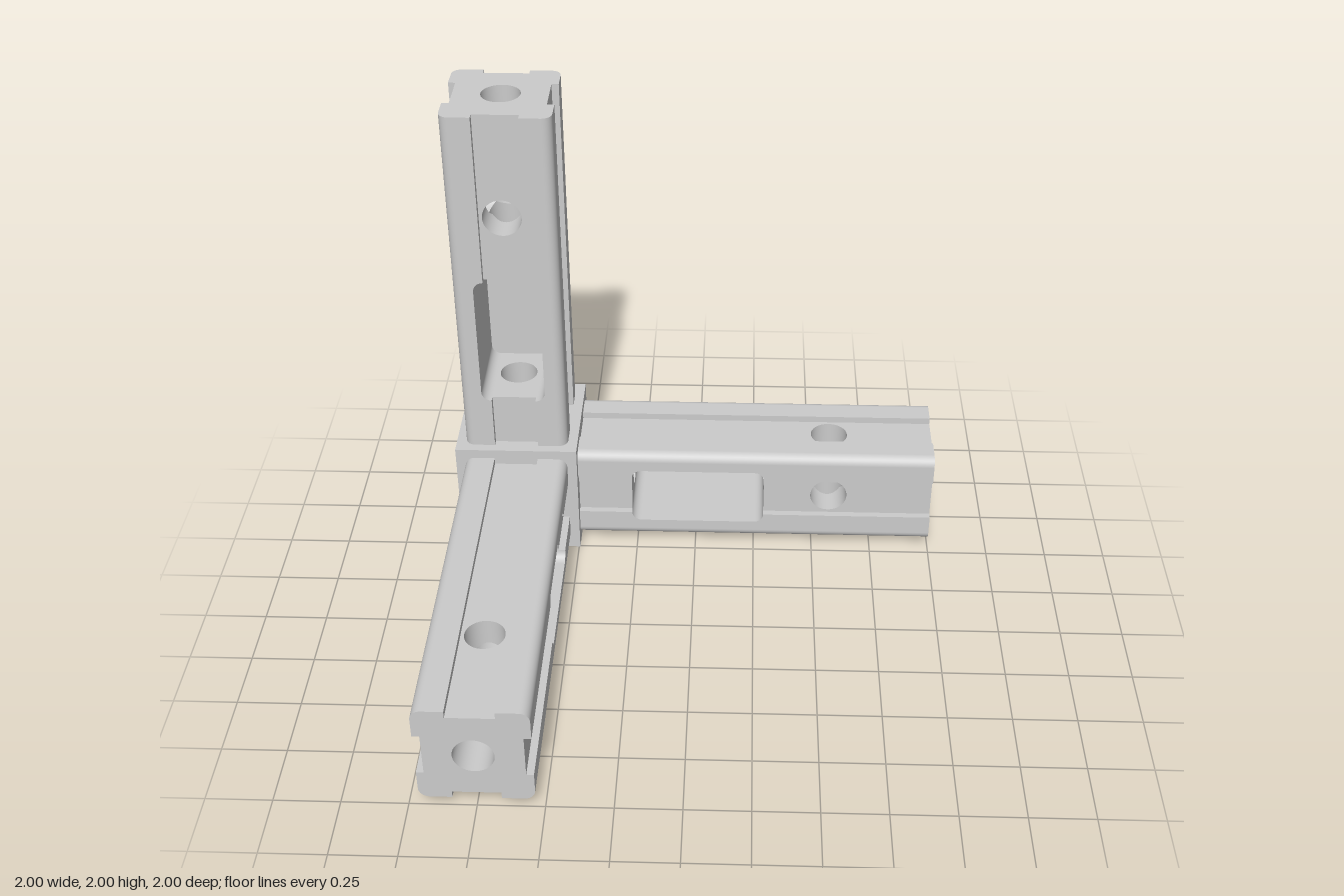
import * as THREE from 'three';

const B = 0.2525;             // half size of the corner block
const A = 0.213, R = 0.04;    // half width and corner radius of an arm
const G = 0.09, H = 0.185;    // half width of a groove, height of its floor
const L = 1.7475;             // arm tip, measured from the block centre
const P0 = 0.4775, P1 = 1.0375, PW = 0.13, PZ = -0.145; // pocket ends, half width, floor
const HOLE = 1.3125, HR = 0.077; // cross hole position, radius of all holes

const mat = new THREE.MeshStandardMaterial({ color: 0xcccccc, side: THREE.DoubleSide });

function add(parent, name, geo) {
  const mesh = new THREE.Mesh(geo, mat);
  mesh.name = name;
  parent.add(mesh);
  return mesh;
}

function polygon(points, holeAt) {
  const shape = new THREE.Shape(points.map(([x, y]) => new THREE.Vector2(x, y)));
  if (holeAt) {
    const hole = new THREE.Path();
    hole.absarc(holeAt[0], holeAt[1], HR, 0, Math.PI * 2, true);
    shape.holes.push(hole);
  }
  return new THREE.ShapeGeometry(shape, 24);
}

const rect = (x0, y0, x1, y1, hole) =>
  polygon([[x0, y0], [x1, y0], [x1, y1], [x0, y1]], hole);

// Points of a quarter arc of the given centre and start angle
function arc(cx, cy, start, sweep, n = 8) {
  return Array.from({ length: n + 1 }, (_, i) => {
    const t = start + sweep * i / n;
    return [cx + R * Math.cos(t), cy + R * Math.sin(t)];
  });
}

// Round bore along y; each end is a height, or a height mitred to crossing bores
function bore(y0, y1, mitre0 = 0, mitre1 = 0) {
  const geo = new THREE.CylinderGeometry(HR, HR, 1, 48, 1, true);
  const p = geo.attributes.position;
  for (let i = 0; i < p.count; i++) {
    const reach = Math.max(Math.abs(p.getX(i)), Math.abs(p.getZ(i)));
    p.setY(i, p.getY(i) > 0 ? y1 + mitre1 * reach : y0 + mitre0 * reach);
  }
  return geo;
}

// One of the four grooved faces, facing +z
function armFace(hasPocket) {
  const face = new THREE.Group();
  face.name = 'armFace';
  const spans = hasPocket ? [[B, P0], [P1, L]] : [[B, L]];
  for (const [y0, y1] of spans) {
    const hole = y1 === L ? [0, HOLE] : null;
    add(face, 'grooveFloor', rect(-G, y0, G, y1, hole)).position.z = H;
    for (const s of [-1, 1]) {
      const wall = add(face, 'grooveWall', new THREE.PlaneGeometry(A - H, y1 - y0));
      wall.position.set(s * G, (y0 + y1) / 2, (A + H) / 2);
      wall.rotation.y = -s * Math.PI / 2;
    }
  }
  const notch = hasPocket ? [
    [G, P1], ...arc(PW - R, P1 - R, Math.PI / 2, -Math.PI / 2),
    ...arc(PW - R, P0 + R, 0, -Math.PI / 2), [G, P0]] : [];
  for (const s of [-1, 1]) {
    const outline = [[G, B], [A - R, B], [A - R, L], [G, L], ...notch];
    add(face, 'land', polygon(outline.map(([x, y]) => [s * x, y]))).position.z = A;
  }
  const edge = add(face, 'roundedEdge',
    new THREE.CylinderGeometry(R, R, L - B, 8, 1, true, 0, Math.PI / 2));
  edge.position.set(A - R, (B + L) / 2, A - R);
  const cross = add(face, 'crossHole', bore(0, H, 1, 0));
  cross.rotation.x = Math.PI / 2;
  cross.position.y = HOLE;
  return face;
}

// Blind pocket opening to +z, its ends pierced by the long bore
function pocket() {
  const group = new THREE.Group();
  group.name = 'pocket';
  const right = [...arc(PW - R, P0 + R, -Math.PI / 2, Math.PI / 2),
    ...arc(PW - R, P1 - R, 0, Math.PI / 2)];
  const left = right.map(([x, y]) => [-x, y]).reverse();
  add(group, 'pocketFloor', polygon([...right, ...left])).position.z = PZ;
  for (const s of [-1, 1]) {
    const pos = [], idx = [];
    right.forEach(([x, y], i) => {
      pos.push(s * x, y, PZ, s * x, y, A);
      const a = 2 * i;
      if (i) idx.push(...(s > 0 ? [a - 2, a - 1, a, a, a - 1, a + 1]
        : [a - 2, a, a - 1, a, a + 1, a - 1]));
    });
    const geo = new THREE.BufferGeometry();
    geo.setAttribute('position', new THREE.Float32BufferAttribute(pos, 3));
    geo.setIndex(idx);
    geo.computeVertexNormals();
    add(group, 'pocketSide', geo);
  }
  for (const [y, turn] of [[P0, -1], [P1, 1]]) {
    const z0 = turn < 0 ? -H : PZ, z1 = turn < 0 ? -PZ : H;
    const end = add(group, 'pocketEnd', rect(-G, z0, G, z1, [0, 0]));
    end.rotation.x = turn * Math.PI / 2;
    end.position.y = y;
  }
  return group;
}

// Arm along +y with its pocket on +z, and the block faces it passes through
function makeArm(name) {
  const arm = new THREE.Group();
  arm.name = name;
  for (let k = 0; k < 4; k++) {
    const face = armFace(k === 0);
    face.rotation.y = k * Math.PI / 2;
    arm.add(face);
  }
  arm.add(pocket());

  // Notched end cap
  const quarter = [[G, H], [G, A], ...arc(A - R, A - R, Math.PI / 2, -Math.PI / 2), [A, G], [H, G]];
  const profile = [];
  for (let k = 0; k < 4; k++) {
    const c = Math.round(Math.cos(k * Math.PI / 2)), s = Math.round(Math.sin(k * Math.PI / 2));
    profile.push(...quarter.map(([x, y]) => [c * x + s * y, c * y - s * x]));
  }
  const cap = add(arm, 'endCap', polygon(profile, [0, 0]));
  cap.rotation.x = -Math.PI / 2;
  cap.position.y = L;

  // Long bore: tip, middle and blind end
  add(arm, 'tipBore', bore(HOLE, L, 1, 0));
  add(arm, 'middleBore', bore(P1, HOLE, 0, -1));
  add(arm, 'innerBore', bore(0.15, P0));
  add(arm, 'boreEnd', new THREE.SphereGeometry(HR, 48, 10, 0, Math.PI * 2, Math.PI / 2, Math.PI / 2))
    .position.y = 0.15;

  // Block face under the arm and the plain one opposite
  const inner = add(arm, 'blockArmFace', rect(-B, -B, B, B, [0, 0]));
  inner.rotation.x = -Math.PI / 2;
  inner.position.y = B;
  const outer = add(arm, 'blockOuterFace', rect(-B, -B, B, B));
  outer.rotation.x = Math.PI / 2;
  outer.position.y = -B;
  return arm;
}

export function createModel() {
  const model = new THREE.Group();
  model.name = 'threeWayCornerConnector';
  const upright = makeArm('uprightArm');
  const side = makeArm('sideArm');
  side.rotation.z = -Math.PI / 2;
  const front = makeArm('frontArm');
  front.quaternion.setFromRotationMatrix(new THREE.Matrix4().makeBasis(
    new THREE.Vector3(0, 1, 0), new THREE.Vector3(0, 0, 1), new THREE.Vector3(1, 0, 0)));
  model.add(upright, side, front);
  for (const arm of model.children) arm.position.set(B - 1, B, B - 1);
  return model;
}
